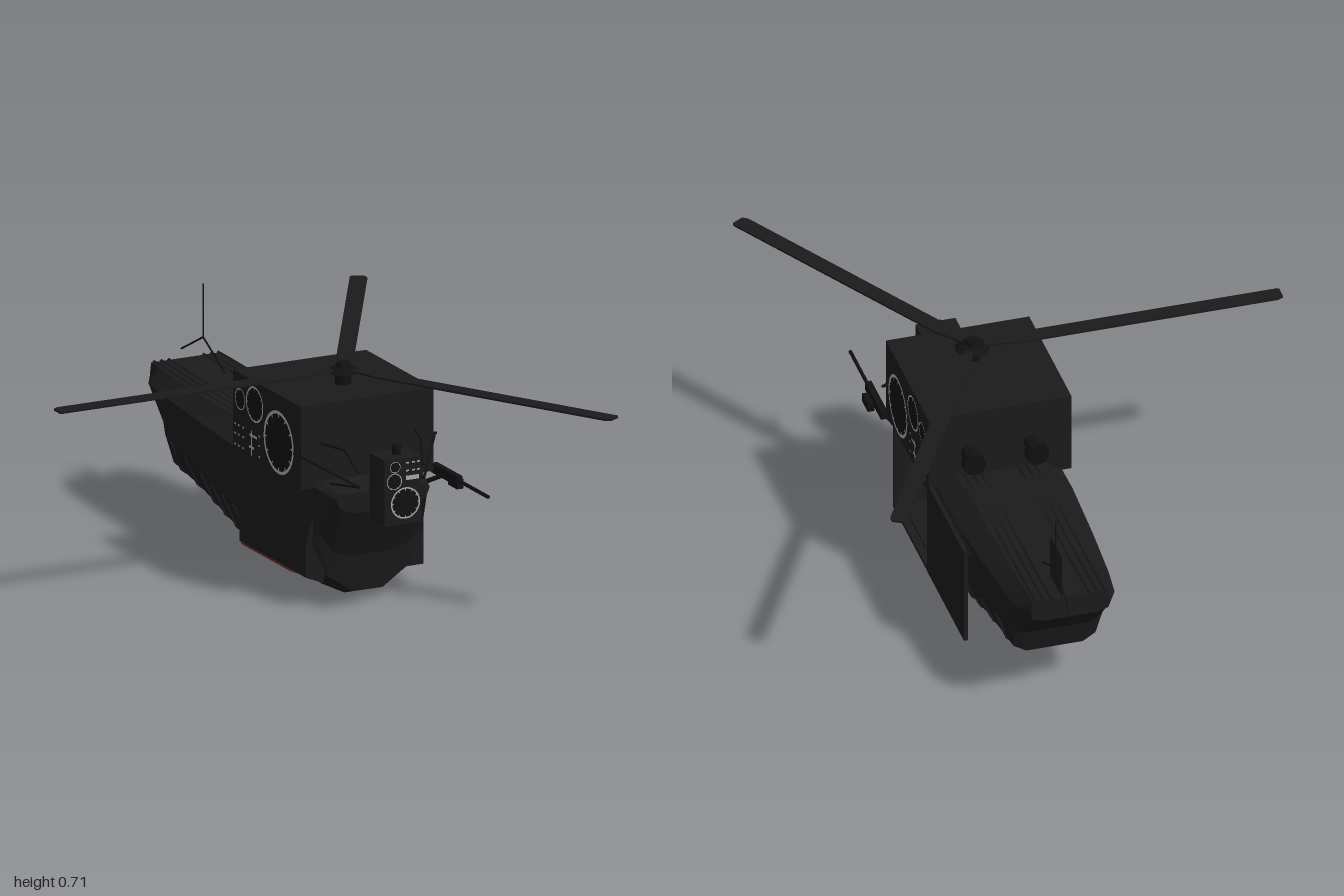
import * as THREE from 'three';

const mat = (name, color, side = THREE.FrontSide) => {
  const m = new THREE.MeshStandardMaterial({ color, side, flatShading: true });
  m.name = name;
  return m;
};

const CX = 0.235; // centre line of the fuselage

// z, then [y, half width] from keel, chine, widest line, deck edge to deck top
const SECTIONS = [
  [0.40, [0.32, 0.09], [0.33, 0.13], [0.345, 0.15], [0.37, 0.16], [0.385, 0.15]],
  [0.32, [0.16, 0.07], [0.18, 0.13], [0.25, 0.18], [0.385, 0.18], [0.40, 0.16]],
  [0.30, [0.04, 0.05], [0.10, 0.14], [0.20, 0.19], [0.39, 0.185], [0.405, 0.16]],
  [0.24, [0.02, 0.05], [0.085, 0.15], [0.19, 0.20], [0.39, 0.19], [0.41, 0.15]],
  [0.09, [0.008, 0.05], [0.08, 0.155], [0.19, 0.205], [0.39, 0.20], [0.41, 0.15]],
  [-0.14, [0.02, 0.05], [0.085, 0.155], [0.20, 0.205], [0.385, 0.20], [0.425, 0.14]],
  [-0.26, [0.04, 0.06], [0.10, 0.15], [0.21, 0.20], [0.39, 0.20], [0.44, 0.13]],
  [-0.53, [0.11, 0.075], [0.16, 0.14], [0.25, 0.185], [0.40, 0.185], [0.445, 0.13]],
  [-0.74, [0.16, 0.09], [0.185, 0.13], [0.28, 0.16], [0.405, 0.17], [0.45, 0.125]],
  [-0.76, [0.24, 0.10], [0.255, 0.13], [0.31, 0.155], [0.405, 0.168], [0.45, 0.125]],
  [-0.86, [0.335, 0.10], [0.345, 0.12], [0.37, 0.14], [0.408, 0.155], [0.455, 0.12]],
  [-0.91, [0.38, 0.09], [0.385, 0.10], [0.39, 0.12], [0.41, 0.125], [0.455, 0.12]],
];

// Full ring of points for a section, up the left side and down the right
function ring([z, ...pts], grow = 0) {
  const left = pts.map(([y, w]) => [CX + w + grow, y - grow * 0.5, z]);
  const right = pts.map(([y, w]) => [CX - w - grow, y - grow * 0.5, z]).reverse();
  return [...left, ...right];
}

// Skin between rings; skip(i, j) leaves an opening
function loft(rings, skip = () => false) {
  const pos = [];
  const n = rings[0].length;
  for (let i = 0; i < rings.length - 1; i++) {
    for (let j = 0; j < n; j++) {
      if (skip(i, j)) continue;
      const a = rings[i][j], b = rings[i][(j + 1) % n], c = rings[i + 1][(j + 1) % n], d = rings[i + 1][j];
      pos.push(...a, ...c, ...b, ...a, ...d, ...c);
    }
  }
  const cap = (r, flip) => {
    for (let j = 1; j < n - 1; j++) pos.push(...r[0], ...(flip ? r[j + 1] : r[j]), ...(flip ? r[j] : r[j + 1]));
  };
  cap(rings[0], false);
  cap(rings[rings.length - 1], true);
  const g = new THREE.BufferGeometry();
  g.setAttribute('position', new THREE.Float32BufferAttribute(pos, 3));
  g.computeVertexNormals();
  return g;
}

// Section interpolated at any z along the hull
function sectionAt(z) {
  const i = SECTIONS.findIndex((s, k) => s[0] >= z && SECTIONS[k + 1][0] <= z);
  const a = SECTIONS[i], b = SECTIONS[i + 1], t = (a[0] - z) / (a[0] - b[0]);
  return [z, ...a.slice(1).map((p, k) => p.map((v, m) => v + (b[k + 1][m] - v) * t))];
}

const outline = (pts) => new THREE.Shape(pts.map((p) => new THREE.Vector2(...p)));

export function createModel() {
  const root = new THREE.Group();
  const body = mat('charcoal paint', 0x1b1b1b);
  const skin = mat('charcoal skin', 0x1b1b1b, THREE.DoubleSide);
  const dark = mat('black metal', 0x111111);
  const pale = mat('dial white', 0xa8a8a8);
  const red = mat('dark red', 0x582020, THREE.DoubleSide);

  const add = (name, geo, m, x = 0, y = 0, z = 0, parent = root) => {
    const mesh = new THREE.Mesh(geo, m);
    mesh.name = name;
    mesh.position.set(x, y, z);
    parent.add(mesh);
    return mesh;
  };
  // Box given by its limits
  const box = (name, m, x0, x1, y0, y1, z0, z1) =>
    add(name, new THREE.BoxGeometry(x1 - x0, y1 - y0, z1 - z0), m, (x0 + x1) / 2, (y0 + y1) / 2, (z0 + z1) / 2);
  // Straight rod between two points
  const rod = (name, m, a, b, r, sides = 6) => {
    const p = new THREE.Vector3(...a), q = new THREE.Vector3(...b);
    const mesh = add(name, new THREE.CylinderGeometry(r, r, p.distanceTo(q), sides), m);
    mesh.position.copy(p).add(q).multiplyScalar(0.5);
    mesh.quaternion.setFromUnitVectors(new THREE.Vector3(0, 1, 0), q.sub(p).normalize());
  };

  // Hull, open on its left side at the cabin door
  add('hull', loft(SECTIONS.map((s) => ring(s)), (i, j) => (i === 3 || i === 4) && (j === 1 || j === 2)), skin);
  for (const z of [-0.2, -0.28, -0.36, -0.44, -0.56, -0.68]) {
    const low = (zz) => ring(sectionAt(zz).slice(0, 4), 0.004);
    add('hullRib', loft([low(z + 0.005), low(z - 0.005)]), body);
  }

  // Bulge low on the right side with a red underside
  const bulge = outline([[0.09, 0.39], [0.05, 0.37], [0.055, 0.32], [0.02, 0.2], [0.022, 0.105], [0.085, 0.078]]);
  add('sideBulge', new THREE.ExtrudeGeometry(bulge, { depth: 0.44, bevelEnabled: false }), body, 0, 0, -0.14);
  const belly = add('bulgeUnderside', new THREE.BoxGeometry(0.066, 0.004, 0.33), red, 0.052, 0.088, 0.035);
  belly.rotation.z = -0.405;

  // Cabin interior and door frame
  box('cabinFloor', body, 0.09, 0.43, 0.085, 0.095, -0.14, 0.24);
  box('cabinWall', body, 0.086, 0.092, 0.09, 0.38, -0.14, 0.24);
  const redPanel = outline([[-0.2, 0.127], [0.13, 0.127], [0.13, 0.14], [0.09, 0.155], [-0.17, 0.162], [-0.2, 0.145]]);
  add('cabinRedPanel', new THREE.ShapeGeometry(redPanel), red, 0.096).rotation.y = Math.PI / 2;
  for (const z of [-0.14, 0.232]) box('cabinBulkhead', body, 0.09, 0.43, 0.09, 0.39, z, z + 0.008);
  rod('cabinPole', dark, [0.3, 0.17, 0.01], [0.3, 0.39, -0.01], 0.005);
  for (const z of [-0.14, 0.23]) box('doorPost', body, 0.41, 0.455, 0.08, 0.39, z, z + 0.012);
  box('doorSill', body, 0.38, 0.455, 0.075, 0.087, -0.14, 0.242);
  box('doorLintel', body, 0.41, 0.455, 0.375, 0.40, -0.14, 0.242);
  box('slidingDoor', body, 0.447, 0.46, 0.085, 0.41, -0.53, -0.138);
  box('doorRail', dark, 0.43, 0.45, 0.38, 0.395, -0.53, -0.13);

  // Engine housing above the cabin
  box('engineHousing', body, 0.005, 0.46, 0.385, 0.65, -0.15, 0.30);

  // A dial: dark face in a pale ring, with short marks around the rim
  const dial = (u, v, r, parent) => {
    add('dialFace', new THREE.CircleGeometry(r * 0.9, 24), dark, u, v, 0.003, parent);
    add('dialRing', new THREE.RingGeometry(r * 0.9, r, 28), pale, u, v, 0.004, parent);
    for (let k = 0; k < 12; k++) {
      const a = k * Math.PI / 6;
      const mark = add('dialMark', new THREE.PlaneGeometry(r * 0.1, r * 0.06), pale,
        u + Math.cos(a) * r * 0.85, v + Math.sin(a) * r * 0.85, 0.0045, parent);
      mark.rotation.z = a;
    }
  };
  const tick = (u, v, w, h, parent) => add('panelMark', new THREE.PlaneGeometry(w, h), pale, u, v, 0.004, parent);
  for (const s of [1, -1]) {
    const panel = new THREE.Group();
    panel.name = s > 0 ? 'leftDials' : 'rightDials';
    panel.position.x = s > 0 ? 0.46 : 0.005;
    panel.rotation.y = s * Math.PI / 2;
    root.add(panel);
    dial(-0.16 * s, 0.50, 0.1, panel);
    dial(0, 0.578, 0.057, panel);
    dial(0.097 * s, 0.57, 0.034, panel);
    for (const u of [-0.03, 0.075, 0.105, 0.13]) {
      for (const v of [0.42, 0.455, 0.485]) tick(u * s, v, 0.01, 0.006, panel);
    }
    tick(0.02 * s, 0.45, 0.006, 0.08, panel);
    tick(0.01 * s, 0.475, 0.05, 0.008, panel);
    tick(0.02 * s, 0.437, 0.035, 0.008, panel);
  }

  // Instrument box ahead of the nose
  box('instrumentBox', body, 0.168, 0.295, 0.31, 0.52, 0.44, 0.54);
  const front = new THREE.Group();
  front.name = 'frontDials';
  front.position.z = 0.54;
  root.add(front);
  dial(0.238, 0.378, 0.05, front);
  dial(0.20, 0.45, 0.026, front);
  dial(0.203, 0.495, 0.018, front);
  tick(0.262, 0.457, 0.045, 0.014, front);
  for (const u of [0.245, 0.265, 0.283]) for (const v of [0.48, 0.505]) tick(u, v, 0.01, 0.005, front);
  rod('boxKnob', dark, [CX, 0.52, 0.49], [CX, 0.55, 0.49], 0.014, 10);
  rod('boxStem', dark, [CX, 0.39, 0.38], [CX, 0.39, 0.45], 0.012, 8);

  for (const s of [1, -1]) {
    const x = (d) => CX + s * d;
    // Tubular frames either side of the nose
    rod('frameBar', dark, [x(0.245), 0.498, 0.28], [x(0.10), 0.498, 0.28], 0.0045);
    rod('frameStrut', dark, [x(0.24), 0.498, 0.28], [x(0.11), 0.42, 0.46], 0.004);
    rod('frameStrut', dark, [x(0.16), 0.525, 0.30], [x(0.13), 0.525, 0.40], 0.004);
    rod('frameStrut', dark, [x(0.13), 0.525, 0.40], [x(0.11), 0.46, 0.45], 0.004);
    rod('frameStrut', dark, [x(0.14), 0.40, 0.32], [x(0.11), 0.42, 0.46], 0.004);
    // Exhausts on the rear of the housing
    rod('exhaust', dark, [x(0.1), 0.51, -0.15], [x(0.1), 0.51, -0.2], 0.022, 10);
    rod('exhaustTip', dark, [x(0.1), 0.51, -0.2], [x(0.1), 0.51, -0.23], 0.036, 10);
    // Ridges along the rear deck
    for (const d of [0.06, 0.085, 0.11]) rod('deckRidge', body, [x(d), 0.43, -0.16], [x(d), 0.456, -0.91], 0.006, 4);
  }

  // Door gun
  rod('gunBarrel', dark, [0.472, 0.39, 0.42], [0.472, 0.39, 0.64], 0.006, 8);
  box('gunBody', dark, 0.462, 0.482, 0.375, 0.405, 0.28, 0.45);
  box('gunMagazine', dark, 0.478, 0.50, 0.355, 0.385, 0.36, 0.42);
  rod('gunMount', dark, [0.42, 0.33, 0.25], [0.47, 0.38, 0.34], 0.008);

  // Rotor
  const rotor = new THREE.Group();
  rotor.name = 'rotor';
  rotor.position.set(CX, 0, 0.135);
  root.add(rotor);
  add('mast', new THREE.CylinderGeometry(0.025, 0.025, 0.06, 10), dark, 0, 0.665, 0, rotor);
  add('hub', new THREE.CylinderGeometry(0.03, 0.055, 0.016, 12), dark, 0, 0.697, 0, rotor);
  add('hubCap', new THREE.CylinderGeometry(0.02, 0.024, 0.016, 10), dark, 0, 0.712, 0, rotor);
  const plan = outline([[0.03, -0.012], [0.08, -0.016], [0.13, -0.027], [0.965, -0.027], [0.982, -0.018],
    [0.982, 0.022], [0.975, 0.027], [0.13, 0.027], [0.08, 0.016], [0.03, 0.012]]);
  for (let i = 0; i < 3; i++) {
    const geo = new THREE.ExtrudeGeometry(plan, { depth: 0.006, bevelEnabled: false });
    geo.rotateX(-Math.PI / 2);
    add('blade', geo, body, 0, 0.693, 0, rotor).rotation.y = Math.PI + i * Math.PI * 2 / 3;
  }

  // Tail fin and aerials
  add('tailFin', new THREE.PlaneGeometry(0.13, 0.215), body, 0.262, 0.493, -0.845).rotation.y = Math.PI / 2;
  const base = [0.265, 0.53, -0.855];
  for (const tip of [[0.265, 0.70, -0.855], [0.265, 0.455, -0.71], [0.265, 0.455, -1.0]]) rod('aerial', dark, base, tip, 0.003, 5);
  return root;
}
